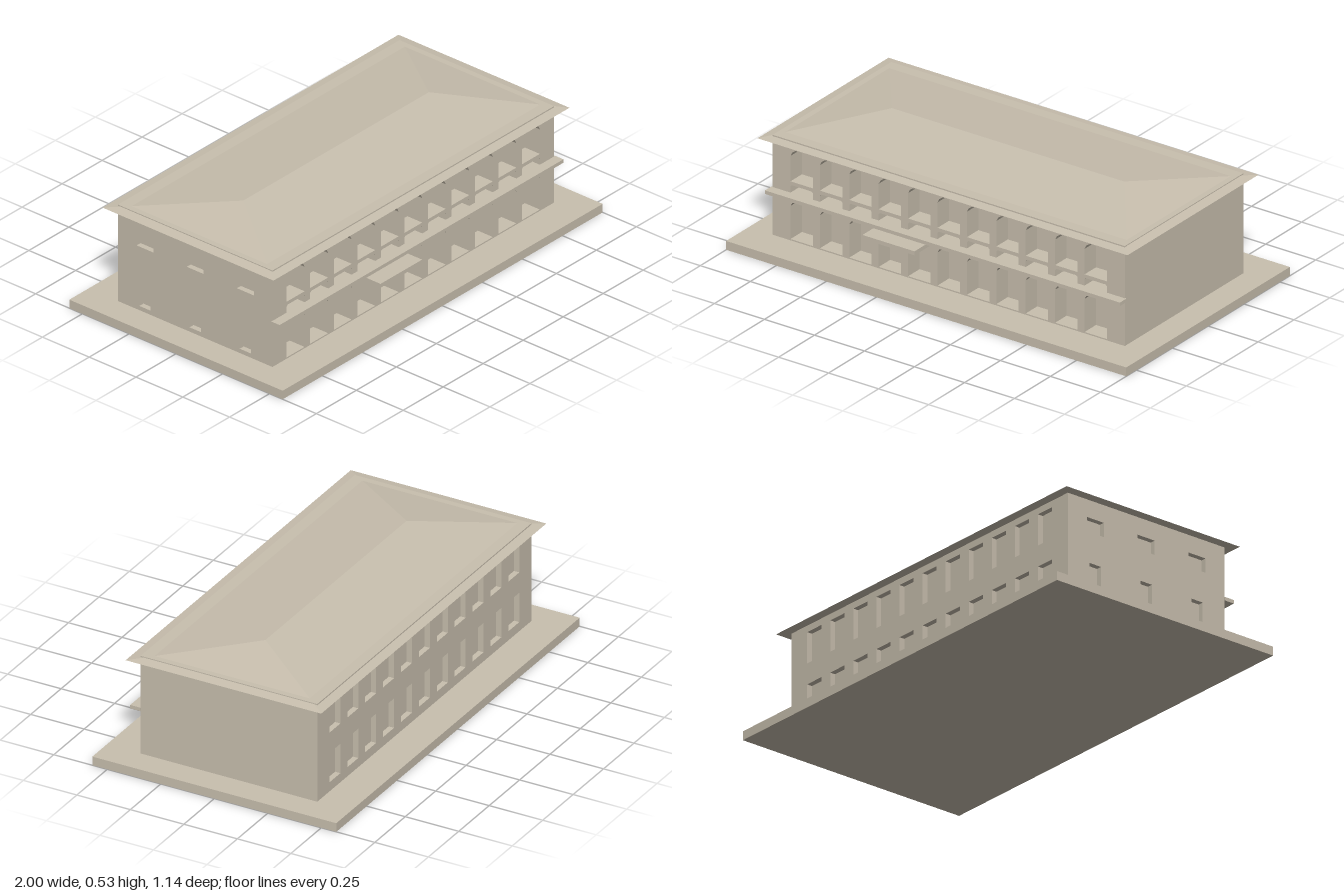
import * as THREE from 'three';

const stone = new THREE.MeshStandardMaterial({ color: 0xc8bfae });
stone.name = 'warm stone';

const BASE = 0.04, TOP = 0.492;      // wall foot and wall head
const HX = 0.88, HZ = 0.413;         // half width and half depth of the body
const BAYS = 11, PITCH = 0.147;
const FRONT_DEPTH = 0.08, REVEAL = 0.025;

export function createModel() {
  const model = new THREE.Group();
  model.name = 'arcadedHall';

  const add = (name, geometry) => {
    const mesh = new THREE.Mesh(geometry, stone);
    mesh.name = name;
    model.add(mesh);
    return mesh;
  };

  // Box given by its lower and upper corners
  const box = (name, x0, x1, y0, y1, z0, z1) =>
    add(name, new THREE.BoxGeometry(x1 - x0, y1 - y0, z1 - z0))
      .position.set((x0 + x1) / 2, (y0 + y1) / 2, (z0 + z1) / 2);

  // Opening outlines
  const hole = (pts) => new THREE.Path(pts.map(([x, y]) => new THREE.Vector2(x, y)));
  const rect = (x, w, y0, y1) =>
    hole([[x - w / 2, y0], [x - w / 2, y1], [x + w / 2, y1], [x + w / 2, y0]]);
  const arch = (x, w, y0, y1, rise) => {
    const side = [[0.5, y0], [0.5, y1 - rise], [0.42, y1 - rise * 0.4], [0.26, y1]];
    if (rise < 0.01) side.splice(2, 2, [0.44, y1]);
    return hole([
      ...side.map(([f, y]) => [x - f * w, y]),
      ...side.reverse().map(([f, y]) => [x + f * w, y]),
    ]);
  };

  // Wall panel pierced by openings
  const wall = (name, x0, x1, depth, holes) => {
    const shape = new THREE.Shape();
    shape.moveTo(x0, BASE).lineTo(x1, BASE).lineTo(x1, TOP).lineTo(x0, TOP).closePath();
    shape.holes.push(...holes);
    return add(name, new THREE.ExtrudeGeometry(shape, { depth, bevelEnabled: false }));
  };

  // Plinth and solid core, which forms the back of every recess
  box('plinth', -1, 1, 0, BASE, -0.57, 0.57);
  box('core', -HX + REVEAL, HX, BASE, TOP, -HZ + REVEAL, HZ - FRONT_DEPTH);

  // Front arcade and rear windows share the same bays
  const frontHoles = [], backHoles = [];
  for (let i = 0; i < BAYS; i++) {
    const x = (i - (BAYS - 1) / 2) * PITCH;
    frontHoles.push(
      arch(x, 0.112, 0.046, 0.222, 0.026),
      arch(x, 0.112, 0.256, 0.291, 0.006),
      arch(x, 0.112, 0.307, 0.452, 0.03),
    );
    backHoles.push(rect(x, 0.09, 0.082, 0.218), rect(x, 0.09, 0.312, 0.452));
  }
  wall('frontArcade', -HX, HX, FRONT_DEPTH, frontHoles).position.z = HZ - FRONT_DEPTH;

  const back = wall('backWall', -HX, HX, REVEAL, backHoles);
  back.rotation.y = Math.PI;
  back.position.z = -HZ + REVEAL;

  // Right end wall with three windows on each floor
  const sideHoles = [-0.268, 0, 0.268].flatMap((z) =>
    [rect(z, 0.06, 0.06, 0.2), rect(z, 0.09, 0.338, 0.402)]);
  const side = wall('rightWall', -HZ + REVEAL, HZ - FRONT_DEPTH, REVEAL, sideHoles);
  side.rotation.y = -Math.PI / 2;
  side.position.x = -HX + REVEAL;

  // Long balcony slab and entrance canopy
  box('balconySlab', -0.887, 0.887, 0.24, 0.256, 0.41, 0.457);
  box('entranceCanopy', -0.345, -0.085, 0.222, 0.24, 0.41, 0.533);

  // Low hipped roof: four eave corners and two ridge ends
  const ex = 0.925, ez = 0.457, ey = 0.481, rx = 0.58, ry = 0.534;
  const corners = [
    [-ex, ey, ez], [ex, ey, ez], [ex, ey, -ez], [-ex, ey, -ez], [-rx, ry, 0], [rx, ry, 0],
  ];
  const faces = [0, 1, 5, 0, 5, 4, 2, 3, 4, 2, 4, 5, 1, 2, 5, 3, 0, 4, 0, 3, 2, 0, 2, 1];
  const roof = new THREE.BufferGeometry();
  roof.setAttribute('position',
    new THREE.Float32BufferAttribute(faces.flatMap((i) => corners[i]), 3));
  roof.computeVertexNormals();
  add('hippedRoof', roof);

  return model;
}
